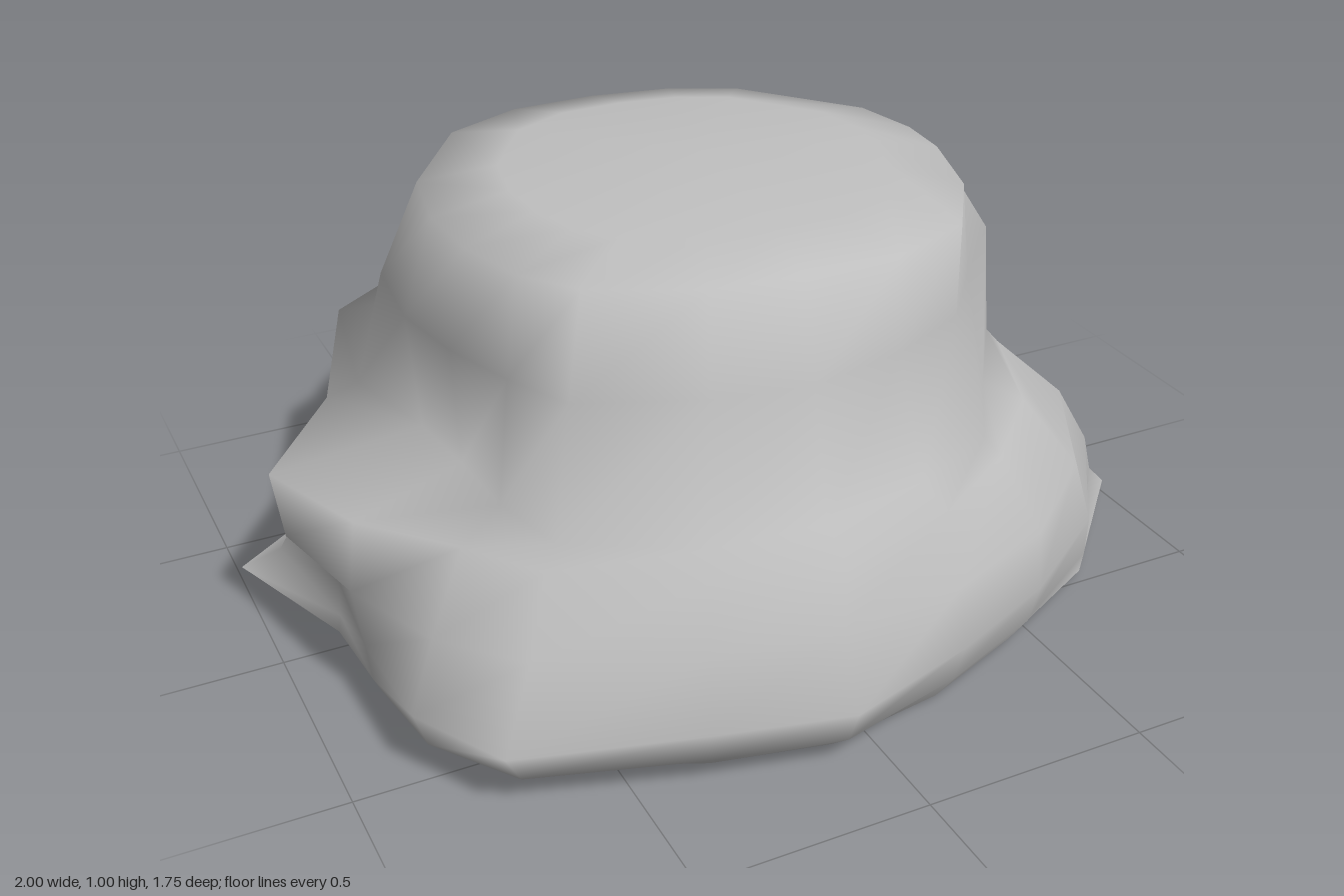
import * as THREE from 'three';

// Directions of the rock's corners in degrees, from +x (left) towards +z (front)
const ANGLES = [11, 34, 55, 75, 96, 115, 137, 150, 165, 181, 200, 228, 247, 267, 287, 305, 340, 357]
  .map((a) => THREE.MathUtils.degToRad(a));
const SIDES = ANGLES.length;

// One radius per corner direction, from the ground up
const BASE = [1.02, 0.87, 0.76, 0.74, 0.76, 0.78, 0.86, 0.90, 0.88, 0.87, 1.06, 0.90, 0.80, 0.82, 0.90, 0.83, 1.01, 0.99];
const BELLY = [0.96, 0.88, 0.82, 0.81, 0.88, 0.89, 1.03, 1.00, 0.91, 0.86, 0.92, 0.86, 0.78, 0.73, 0.78, 0.78, 0.95, 0.95];
const WAIST = [0.88, 0.84, 0.81, 0.79, 0.80, 0.83, 0.91, 0.93, 0.93, 0.96, 0.92, 0.90, 0.83, 0.76, 0.75, 0.74, 0.83, 0.86];
const SHELF = [0.71, 0.71, 0.71, 0.74, 0.80, 0.81, 0.83, 0.83, 0.91, 0.98, 0.83, 0.94, 0.955, 0.87, 0.80, 0.69, 0.68, 0.69];
const NECK = [0.68, 0.62, 0.67, 0.67, 0.70, 0.75, 0.78, 0.71, 0.65, 0.65, 0.76, 0.83, 0.91, 0.84, 0.78, 0.69, 0.68, 0.69];
const CROWN = [0.66, 0.57, 0.59, 0.59, 0.62, 0.64, 0.70, 0.67, 0.66, 0.67, 0.69, 0.73, 0.69, 0.64, 0.64, 0.62, 0.65, 0.66];
const RIM = [0.53, 0.55, 0.59, 0.58, 0.56, 0.59, 0.63, 0.63, 0.61, 0.60, 0.60, 0.60, 0.57, 0.53, 0.52, 0.52, 0.53, 0.53];

// Corner points of one level; height is a function of the direction
function ring(radii, height) {
  return ANGLES.map((a, i) => [radii[i] * Math.cos(a), height(a), radii[i] * Math.sin(a)]);
}

// The bottom edge touches the ground at front and back and lifts at the sides.
const bottomEdge = ring(BASE, (a) => 0.03 * Math.cos(a) ** 2);

function makeGeometry(points, index) {
  const g = new THREE.BufferGeometry();
  g.setAttribute('position', new THREE.Float32BufferAttribute(points.flat(), 3));
  g.setIndex(index);
  g.computeVertexNormals();
  return g;
}

// Lumpy wall with a shelf part way up and a gently domed top
function bodyGeometry() {
  const lip = BASE.map((r, i) => THREE.MathUtils.lerp(r, BELLY[i], 0.65));
  const dome = RIM.map((r) => r * 0.72);
  const points = [
    ...bottomEdge,
    ...ring(lip, () => 0.07),
    ...ring(BELLY, () => 0.16),
    ...ring(WAIST, () => 0.3),
    ...ring(SHELF, () => 0.455),
    ...ring(NECK, () => 0.49),
    ...ring(CROWN, () => 0.75),
    ...ring(RIM, () => 0.955),
    ...ring(dome, () => 0.985),
  ];
  const index = [];
  const centre = points.length;
  const lastRow = centre - SIDES;
  points.push([0, 1, 0]);
  for (let i = 0; i < SIDES; i++) {
    const j = (i + 1) % SIDES;
    for (let row = 0; row < lastRow; row += SIDES) {
      const a = row + i, b = row + j;
      index.push(a, a + SIDES, b, b, a + SIDES, b + SIDES);
    }
    index.push(lastRow + i, centre, lastRow + j);
  }
  return makeGeometry(points, index);
}

// Closed underside, kept separate for a crisp edge
function undersideGeometry() {
  const index = [];
  for (let i = 0; i < SIDES; i++) index.push(i, (i + 1) % SIDES, SIDES);
  return makeGeometry([...bottomEdge, [0, 0, 0]], index);
}

export function createModel() {
  const group = new THREE.Group();
  group.name = 'rock';
  const stone = new THREE.MeshStandardMaterial({ color: 0xc0c0c0 });
  stone.name = 'grey stone';

  const body = new THREE.Mesh(bodyGeometry(), stone);
  body.name = 'rockBody';
  const underside = new THREE.Mesh(undersideGeometry(), stone);
  underside.name = 'underside';
  group.add(body, underside);
  return group;
}
